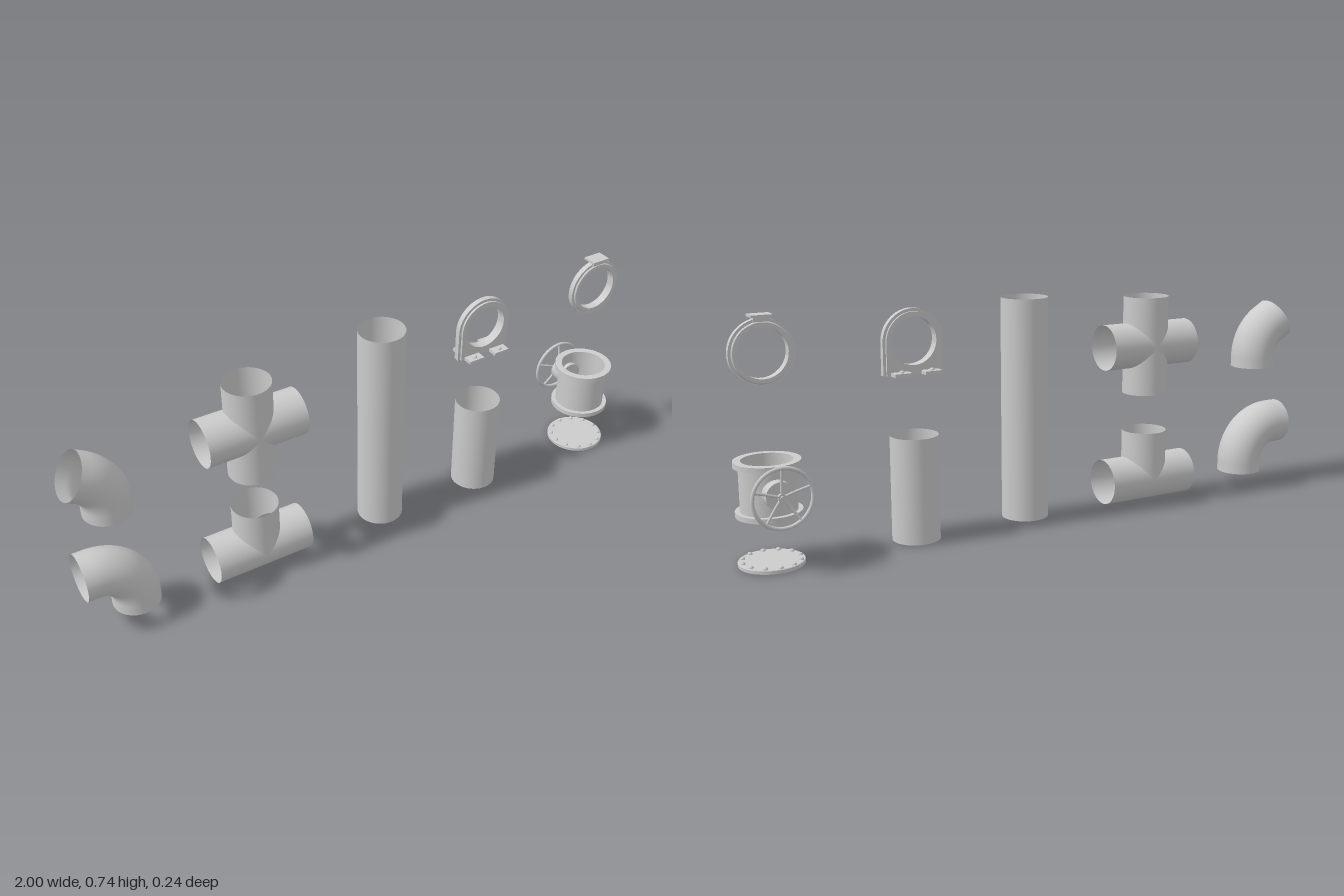
import * as THREE from 'three';
import { toCreasedNormals } from 'three/addons/utils/BufferGeometryUtils.js';
import { ParametricGeometry } from 'three/addons/geometries/ParametricGeometry.js';

const R = 0.075;          // pipe radius
const Z = 0.022;          // common centre plane
const SEG = 48;
const solid = new THREE.MeshStandardMaterial({ color: 0xcccccc });
const thin = new THREE.MeshStandardMaterial({ color: 0xcccccc, side: THREE.DoubleSide });

function add(parent, name, geometry, x = 0, y = 0, z = 0, material = solid) {
  const mesh = new THREE.Mesh(geometry, material);
  mesh.name = name;
  mesh.position.set(x, y, z);
  parent.add(mesh);
  return mesh;
}

function section(parent, name, x, y) {
  const g = new THREE.Group();
  g.name = name;
  g.position.set(x, y, Z);
  parent.add(g);
  return g;
}

// Closed ring turned from [radius, height] points, counter-clockwise
function turned(points) {
  const loop = [...points, points[0]].map(([r, y]) => new THREE.Vector2(r, y));
  return toCreasedNormals(new THREE.LatheGeometry(loop, SEG), 0.5);
}

// Pipe arm along +x whose inner end is cut by start(height)
function arm(length, start) {
  return new ParametricGeometry((u, v, p) => {
    const a = u * Math.PI * 2, y = R * Math.cos(a);
    const s = start(y);
    p.set(s + (length - s) * v, y, R * Math.sin(a));
  }, SEG, 8);
}

// Elbow rising from the origin and bending toward -x, with short straight ends
function elbow(angle, bend = 0.129, straight = 0.034) {
  const total = 2 * straight + bend * angle;
  return new ParametricGeometry((u, v, p) => {
    const s = v * total, a = u * Math.PI * 2;
    const f = Math.min(Math.max((s - straight) / bend, 0), angle);
    const before = Math.min(s, straight);
    const after = Math.max(s - straight - bend * angle, 0);
    const d = bend + R * Math.cos(a);
    p.set(-bend + d * Math.cos(f) - after * Math.sin(f),
      before + d * Math.sin(f) + after * Math.cos(f), R * Math.sin(a));
  }, SEG, 32);
}

function straightPipe(parent, name, x, y0, y1) {
  const geo = new THREE.CylinderGeometry(R, R, y1 - y0, SEG, 1, true);
  add(parent, name, geo, x, (y0 + y1) / 2, Z, thin);
}

// Flat-bottomed arch plate with a round hole, centred on its thickness
function archPlate(r, bottom, thickness) {
  const shape = new THREE.Shape();
  shape.moveTo(-r, bottom);
  shape.lineTo(r, bottom);
  shape.lineTo(r, 0);
  shape.absarc(0, 0, r, 0, Math.PI, false);
  shape.closePath();
  const hole = new THREE.Path();
  hole.absarc(0, 0, 0.073, 0, Math.PI * 2, true);
  shape.holes.push(hole);
  const geo = new THREE.ExtrudeGeometry(shape, { depth: thickness, bevelEnabled: false, curveSegments: 32 });
  geo.translate(0, 0, -thickness / 2);
  return toCreasedNormals(geo, 0.5);
}

function bolt(parent, x, y, z) {
  const dome = new THREE.SphereGeometry(0.008, 12, 6, 0, Math.PI * 2, 0, Math.PI / 2);
  add(parent, 'bolt', dome, x, y, z);
}

export function createModel() {
  const root = new THREE.Group();
  root.name = 'pipeKit';

  // Elbows
  add(root, 'elbowSixty', elbow(Math.PI / 3), -0.868, 0.428, Z, thin);
  add(root, 'elbowNinety', elbow(Math.PI / 2), -0.822, 0.053, Z, thin);

  // Cross: four mitred arms
  const cross = section(root, 'crossPipe', -0.406, 0.543);
  for (let i = 0; i < 4; i++) {
    add(cross, 'crossArm', arm(0.163, Math.abs), 0, 0, 0, thin).rotation.z = i * Math.PI / 2;
  }

  // Tee: two run arms cut only above the axis, and one mitred branch
  const tee = section(root, 'teePipe', -0.406, 0.086);
  add(tee, 'runRight', arm(0.163, y => Math.max(0, y)), 0, 0, 0, thin);
  add(tee, 'runLeft', arm(0.163, y => Math.max(0, -y)), 0, 0, 0, thin).rotation.z = Math.PI;
  add(tee, 'branch', arm(0.165, Math.abs), 0, 0, 0, thin).rotation.z = Math.PI / 2;

  // Straight pipes
  straightPipe(root, 'longPipe', 0.056, 0.019, 0.732);
  straightPipe(root, 'shortPipe', 0.441, 0.004, 0.335);

  // Arched support with bolted feet
  const support = section(root, 'pipeSupport', 0.441, 0.625);
  add(support, 'archCore', archPlate(0.089, -0.1, 0.032));
  add(support, 'archRim', archPlate(0.098, -0.1, 0.018));
  for (const sx of [-1, 1]) {
    for (const sz of [-1, 1]) {
      add(support, 'foot', new THREE.BoxGeometry(0.055, 0.011, 0.035), sx * 0.049, -0.0955, sz * 0.0315);
      bolt(support, sx * 0.049, -0.09, sz * 0.033);
    }
  }

  // Hanging ring with a top plate
  const ring = section(root, 'hangerRing', 0.901, 0.628);
  const rim = turned([[0.075, -0.014], [0.087, -0.014], [0.09, -0.009], [0.098, -0.009],
    [0.098, 0.009], [0.09, 0.009], [0.087, 0.014], [0.075, 0.014]]);
  add(ring, 'ringBand', rim.rotateX(Math.PI / 2));
  add(ring, 'ringNeck', new THREE.BoxGeometry(0.046, 0.018, 0.026), 0, 0.097, 0);
  add(ring, 'topPlate', new THREE.BoxGeometry(0.064, 0.007, 0.048), 0, 0.1055, 0);

  // Valve body with both flanges
  const valve = section(root, 'valve', 0.901, 0.235);
  add(valve, 'valveBody', turned([[R, -0.082], [0.0975, -0.082], [0.0975, -0.067], [0.083, -0.067],
    [0.083, 0.065], [0.0975, 0.065], [0.0975, 0.082], [R, 0.082]]));
  const bonnet = new THREE.CylinderGeometry(0.042, 0.042, 0.054, 32).rotateX(Math.PI / 2);
  add(valve, 'bonnet', bonnet, 0, 0, -0.087);
  const stem = new THREE.CylinderGeometry(0.006, 0.006, 0.026, 16).rotateX(Math.PI / 2);
  add(valve, 'stem', stem, 0, 0, -0.123);
  const hub = new THREE.CylinderGeometry(0.012, 0.012, 0.009, 20).rotateX(Math.PI / 2);
  add(valve, 'wheelHub', hub, 0, 0, -0.126);

  // Dished handwheel
  add(valve, 'wheelRim', new THREE.TorusGeometry(0.0875, 0.0058, 10, SEG), 0, 0, -0.1355);
  for (let i = 0; i < 5; i++) {
    const a = Math.PI / 2 + i * Math.PI * 2 / 5;
    const at = (r, z) => new THREE.Vector3(r * Math.cos(a), r * Math.sin(a), z);
    const path = new THREE.CatmullRomCurve3([at(0.008, -0.126), at(0.045, -0.128), at(0.086, -0.1355)]);
    add(valve, 'wheelSpoke', new THREE.TubeGeometry(path, 8, 0.0042, 8));
  }

  // Blind flange, recessed underneath, with a bolt circle
  const blind = section(root, 'blindFlange', 0.901, 0);
  add(blind, 'flangeDisc', turned([[0, 0.005], [0.084, 0.005], [0.084, 0.001], [0.0955, 0.001],
    [0.0975, 0.003], [0.0975, 0.013], [0.0955, 0.015], [0, 0.015]]));
  for (let i = 0; i < 12; i++) {
    const a = i * Math.PI / 6;
    bolt(blind, 0.086 * Math.cos(a), 0.0145, 0.086 * Math.sin(a));
  }
  return root;
}
